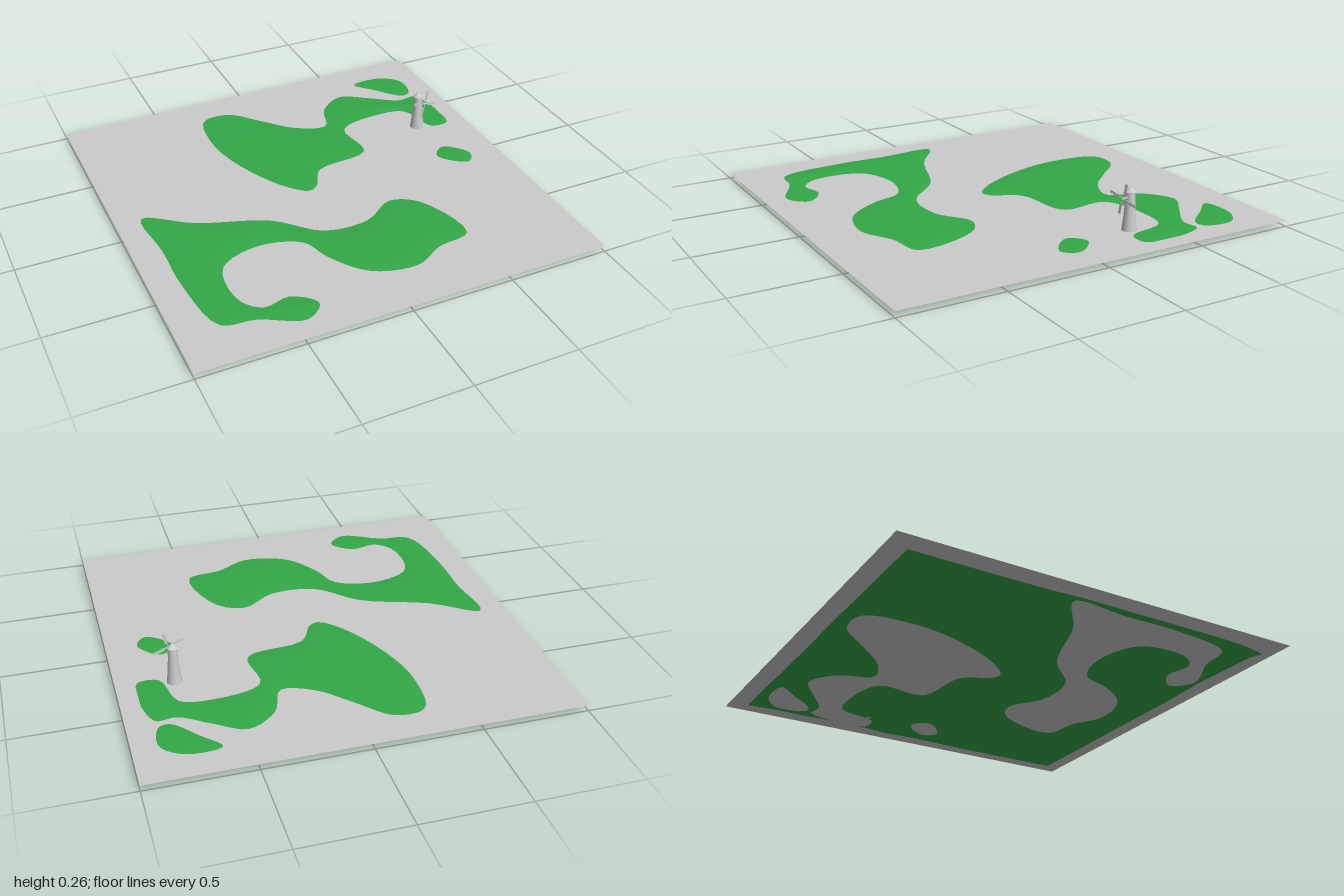
import * as THREE from 'three';

const WATER_Y = 0.028;

// Shorelines as closed smooth outlines of x, z pairs
const northIsland = [
  [-0.05, 0.02], [-0.16, -0.09], [-0.29, -0.37], [-0.33, -0.6], [-0.29, -0.82], [-0.15, -0.83],
  [0, -0.68], [0.13, -0.55], [0.28, -0.5], [0.35, -0.66], [0.49, -0.75], [0.63, -0.67],
  [0.77, -0.58], [0.87, -0.58], [0.9, -0.27], [0.8, -0.27], [0.74, -0.46], [0.6, -0.49],
  [0.36, -0.43], [0.36, -0.19], [0.08, -0.13], [0, 0],
];
const southIsland = [
  [-0.87, -0.1], [-0.65, 0.04], [-0.32, 0.17], [-0.12, 0.35], [0.1, 0.36], [0.27, 0.26],
  [0.4, 0.33], [0.48, 0.64], [0.31, 0.68], [0.15, 0.76], [-0.06, 0.71], [-0.19, 0.54],
  [-0.25, 0.39], [-0.45, 0.33], [-0.65, 0.41], [-0.67, 0.65], [-0.59, 0.74], [-0.46, 0.72],
  [-0.36, 0.81], [-0.45, 0.89], [-0.65, 0.8], [-0.8, 0.77], [-0.86, 0.45], [-0.86, 0.18],
];
const northEastIslet = [[0.62, -0.84], [0.78, -0.85], [0.88, -0.77], [0.86, -0.63], [0.81, -0.62], [0.7, -0.74]];
const eastIslet = [[0.75, -0.06], [0.85, 0.05], [0.8, 0.12], [0.68, 0.01]];

function smoothOutline(points) {
  const corners = points.map(([x, z]) => new THREE.Vector3(x, 0, z));
  return new THREE.CatmullRomCurve3(corners, true, 'centripetal').getPoints(corners.length * 5);
}

// Distance to the nearest shore: positive on land, negative under water
function shoreDistance(x, z, outlines) {
  let inside = false, best = Infinity;
  for (const line of outlines) {
    for (let i = 0; i < line.length - 1; i++) {
      const a = line[i], b = line[i + 1];
      const dx = b.x - a.x, dz = b.z - a.z;
      const t = THREE.MathUtils.clamp(((x - a.x) * dx + (z - a.z) * dz) / (dx * dx + dz * dz), 0, 1);
      best = Math.min(best, Math.hypot(x - a.x - t * dx, z - a.z - t * dz));
      if ((a.z > z) !== (b.z > z) && x < a.x + ((z - a.z) / dz) * dx) inside = !inside;
    }
  }
  return inside ? best : -best;
}

function createTerrain() {
  const outlines = [northIsland, southIsland, northEastIslet, eastIslet].map(smoothOutline);
  const geo = new THREE.PlaneGeometry(1.82, 1.82, 130, 130).rotateX(-Math.PI / 2);
  const pos = geo.attributes.position;
  for (let i = 0; i < pos.count; i++) {
    const x = pos.getX(i), z = pos.getZ(i);
    const d = shoreDistance(x, z, outlines);
    let y = WATER_Y + 0.009 * Math.tanh(d / 0.12);
    // the sea bed sinks towards the front right corner
    if (d < 0) y -= 0.022 * Math.exp(-Math.hypot(x + 0.91, z - 0.91) / 0.06) * Math.min(1, -d / 0.08);
    pos.setY(i, Math.max(0, y));
  }
  geo.computeVertexNormals();
  return geo;
}

export function createModel() {
  const model = new THREE.Group();
  const grey = new THREE.MeshStandardMaterial({ color: 0xcccccc, side: THREE.DoubleSide });
  const green = new THREE.MeshStandardMaterial({ color: 0x33a847, side: THREE.DoubleSide });
  const add = (parent, name, geo, mat = grey) => {
    const mesh = new THREE.Mesh(geo, mat);
    mesh.name = name;
    parent.add(mesh);
    return mesh;
  };

  // Water sheet and the land that rises through it
  add(model, 'water', new THREE.PlaneGeometry(2, 2).rotateX(-Math.PI / 2)).position.y = WATER_Y;
  add(model, 'terrain', createTerrain(), green);

  // Windmill
  const mill = new THREE.Group();
  mill.name = 'windmill';
  mill.position.set(0.73, WATER_Y, -0.3);
  mill.rotation.y = 0.23;
  model.add(mill);

  const profile = [[0.036, -0.003], [0.033, 0.02], [0.028, 0.07], [0.024, 0.12], [0.021, 0.178]];
  add(mill, 'tower', new THREE.LatheGeometry(profile.map(([r, y]) => new THREE.Vector2(r, y)), 24));
  add(mill, 'capRim', new THREE.CylinderGeometry(0.026, 0.026, 0.006, 24)).position.y = 0.179;
  add(mill, 'cap', new THREE.ConeGeometry(0.026, 0.024, 24)).position.y = 0.194;
  add(mill, 'axle', new THREE.CylinderGeometry(0.004, 0.004, 0.055, 10).rotateX(Math.PI / 2))
    .position.set(0, 0.158, 0.028);

  // Four sails around the hub
  const rotor = new THREE.Group();
  rotor.name = 'rotor';
  rotor.position.set(0, 0.158, 0.051);
  rotor.rotation.z = -0.22;
  mill.add(rotor);
  add(rotor, 'hub', new THREE.SphereGeometry(0.007, 12, 8));
  for (let i = 0; i < 4; i++) {
    const sail = new THREE.Group();
    sail.name = 'sail';
    sail.rotation.z = (i * Math.PI) / 2;
    rotor.add(sail);
    add(sail, 'spar', new THREE.BoxGeometry(0.004, 0.076, 0.004)).position.y = 0.038;
    add(sail, 'blade', new THREE.BoxGeometry(0.013, 0.056, 0.002)).position.set(0.003, 0.048, 0);
  }
  return model;
}
